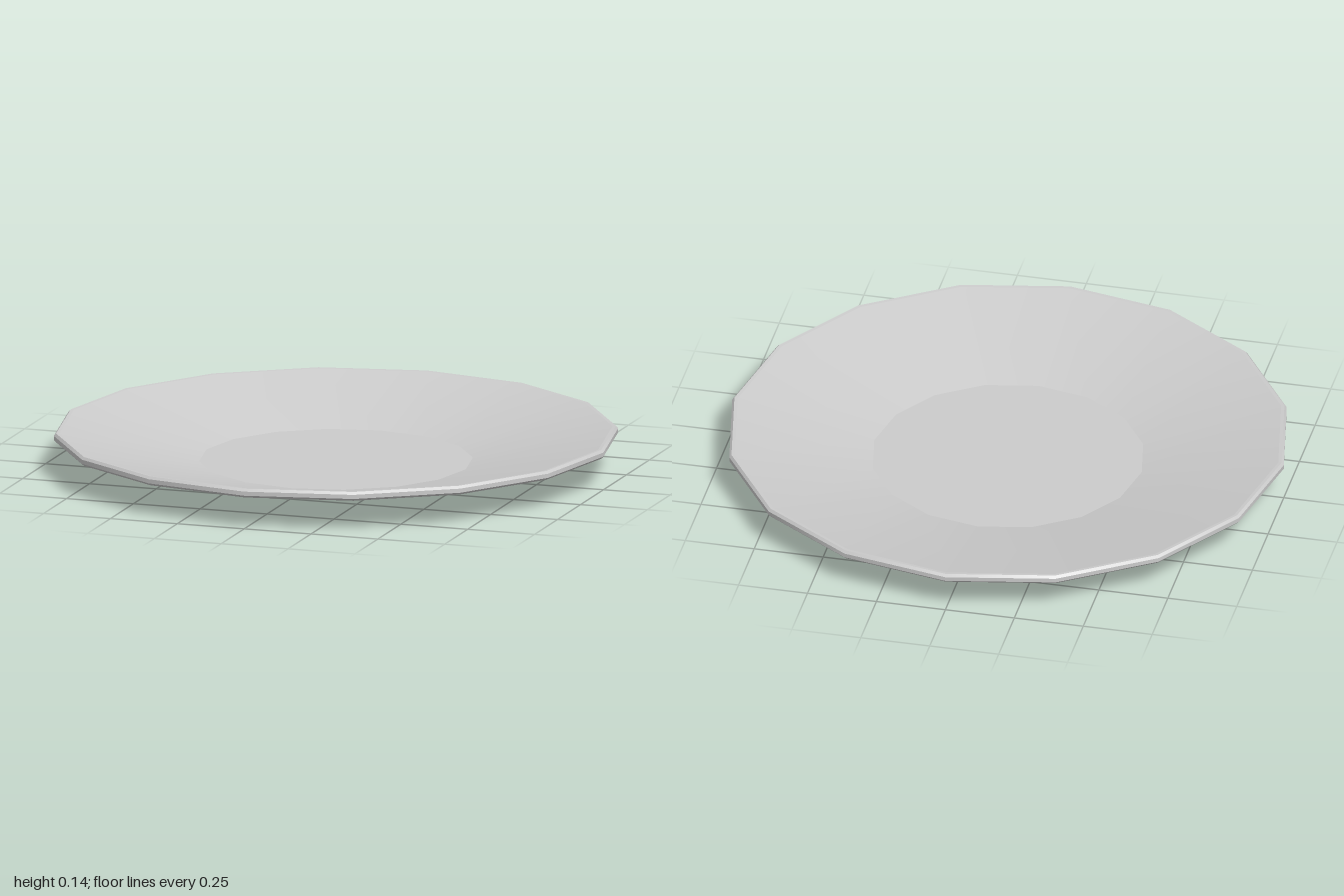
import * as THREE from 'three';

const SIDES = 16;

export function createModel() {
  const group = new THREE.Group();
  group.name = 'plate';
  const material = new THREE.MeshStandardMaterial({ color: 0xcccccc });

  // Each band is its own lathe, so the edges between bands stay sharp.
  const addBand = (name, profile) => {
    const points = profile.map(([r, y]) => new THREE.Vector2(r, y));
    const mesh = new THREE.Mesh(new THREE.LatheGeometry(points, SIDES), material);
    mesh.name = name;
    group.add(mesh);
  };

  // Shallow conical base flaring up to the rim
  addBand('underside', [[0, 0], [0.6, 0.024], [0.992, 0.112]]);

  // Narrow bevelled rim
  addBand('rimLower', [[0.992, 0.112], [1, 0.12]]);
  addBand('rimEdge', [[1, 0.12], [1, 0.135]]);
  addBand('rimUpper', [[1, 0.135], [0.992, 0.144]]);
  addBand('rimTop', [[0.992, 0.144], [0.98, 0.143]]);

  // Sloping inner wall and flat floor
  addBand('innerWall', [[0.98, 0.143], [0.485, 0.036]]);
  addBand('floor', [[0.485, 0.036], [0, 0.036]]);

  return group;
}
